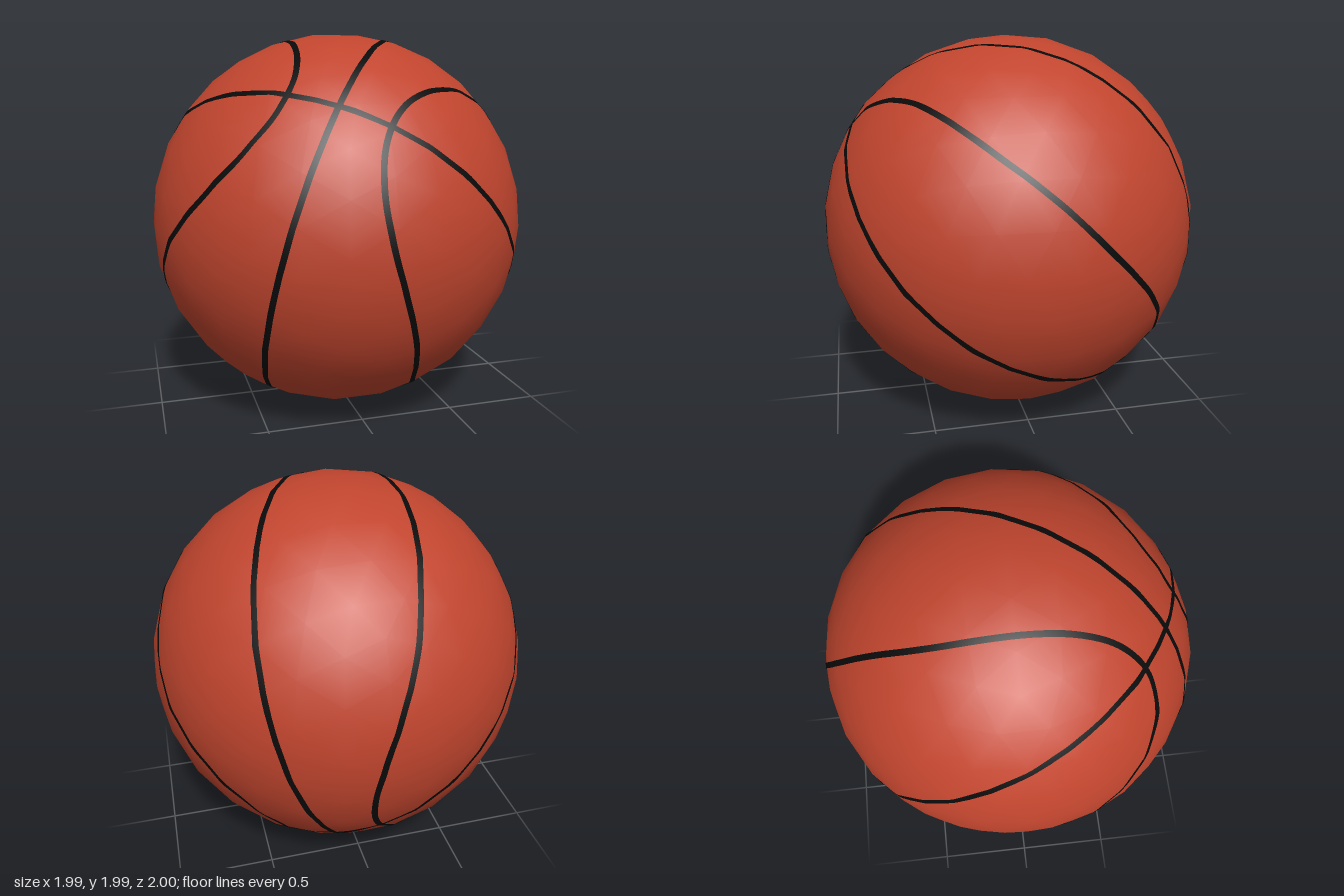
import * as THREE from 'three';

const SEAM_WIDTH = 0.03;
const LIFT = 0.004;

export function createModel() {
  const leather = new THREE.MeshStandardMaterial({ color: 0xc1452e });
  leather.name = 'orangeLeather';
  const rubber = new THREE.MeshStandardMaterial({ color: 0x0a0a0a, side: THREE.DoubleSide });
  rubber.name = 'blackSeam';

  const model = new THREE.Group();
  model.name = 'basketball';
  const ball = new THREE.Group();
  ball.name = 'ball';
  model.add(ball);

  // Body: coarse sphere with smooth normals
  const body = new THREE.Mesh(new THREE.IcosahedronGeometry(1.002, 4), leather);
  body.name = 'body';
  ball.add(body);

  // Tilted frame of the seams: the front crossing, and the two great-circle normals
  const pole = new THREE.Vector3(-0.2, 0.65, 0.74).normalize();
  const up = new THREE.Vector3(0.506, 0.711, -0.488);
  up.addScaledVector(pole, -up.dot(pole)).normalize();
  const side = new THREE.Vector3().crossVectors(pole, up).normalize();
  if (side.x < 0) side.negate();

  const onBall = (a, b, c) => new THREE.Vector3()
    .addScaledVector(pole, a).addScaledVector(up, b).addScaledVector(side, c).normalize();

  // Drop a direction onto the faceted body, slightly lifted
  const ray = new THREE.Raycaster();
  const project = (dir) => {
    ray.set(dir.clone().multiplyScalar(2), dir.clone().negate());
    const hit = ray.intersectObject(body)[0];
    return dir.clone().multiplyScalar((hit ? hit.point.length() : 1) + LIFT);
  };

  // Closed thin ribbon along a curve on the sphere
  function addSeam(name, curve, steps = 240) {
    const positions = [], normals = [], index = [];
    for (let i = 0; i <= steps; i++) {
      const t = (i / steps) * Math.PI * 2;
      const p = curve(t);
      const tangent = curve(t + 0.01).sub(curve(t - 0.01)).normalize();
      const across = new THREE.Vector3().crossVectors(tangent, p).normalize();
      for (const s of [-0.5, 0.5]) {
        const dir = p.clone().addScaledVector(across, s * SEAM_WIDTH).normalize();
        positions.push(...project(dir).toArray());
        normals.push(...dir.toArray());
      }
      const k = i * 2;
      if (i < steps) index.push(k, k + 1, k + 2, k + 1, k + 3, k + 2);
    }
    const geometry = new THREE.BufferGeometry();
    geometry.setAttribute('position', new THREE.Float32BufferAttribute(positions, 3));
    geometry.setAttribute('normal', new THREE.Float32BufferAttribute(normals, 3));
    geometry.setIndex(index);
    const mesh = new THREE.Mesh(geometry, rubber);
    mesh.name = name;
    ball.add(mesh);
  }

  // Two great circles
  addSeam('crossSeam', (t) => onBall(Math.cos(t), 0, Math.sin(t)));
  addSeam('middleSeam', (t) => onBall(Math.cos(t), Math.sin(t), 0));

  // Two flared side loops, narrow at the crossings and wide between them
  for (const s of [1, -1]) {
    addSeam(s > 0 ? 'leftLoopSeam' : 'rightLoopSeam', (t) => {
      const lat = THREE.MathUtils.degToRad(31.3 - 14.55 * Math.cos(2 * t) - 2.2 * Math.cos(4 * t));
      const r = Math.cos(lat);
      return onBall(r * Math.cos(t), r * Math.sin(t), s * Math.sin(lat));
    });
  }

  ball.position.y = 1;
  return model;
}
